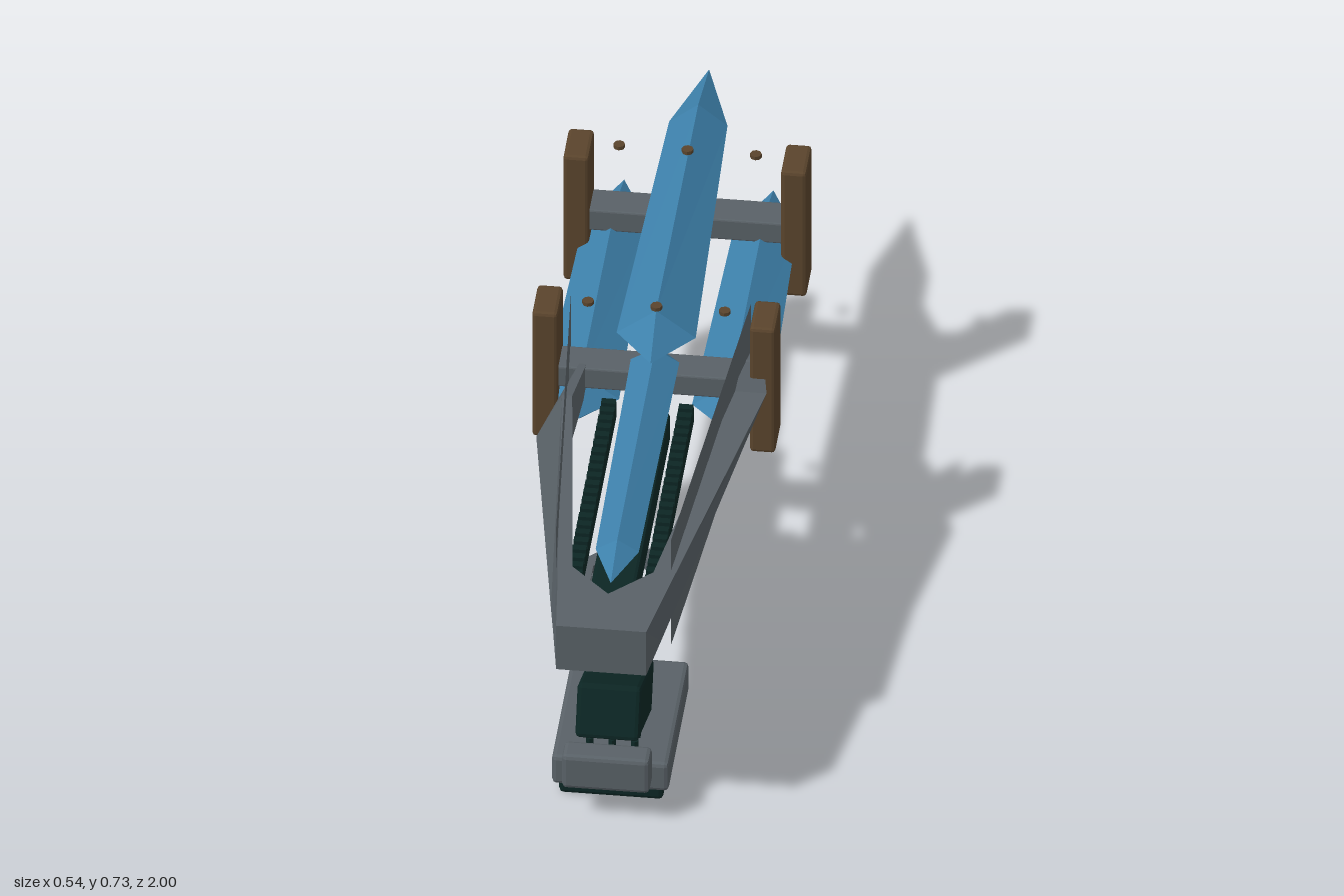
import * as THREE from 'three';
import { RoundedBoxGeometry } from 'three/addons/geometries/RoundedBoxGeometry.js';

const paint = (name, color, side = THREE.FrontSide) => {
  const m = new THREE.MeshStandardMaterial({ color, flatShading: true, side });
  m.name = name;
  return m;
};

// Joins cross-sections (counter-clockwise seen from +z) running towards -z, with end caps
function loft(sections) {
  const pos = [];
  const tri = (...pts) => pts.forEach((p) => pos.push(...p));
  const n = sections[0].length;
  for (let i = 0; i < sections.length - 1; i++) {
    for (let j = 0; j < n; j++) {
      const k = (j + 1) % n, s = sections[i], t = sections[i + 1];
      tri(s[j], t[j], s[k]);
      tri(t[j], t[k], s[k]);
    }
  }
  const first = sections[0], last = sections[sections.length - 1];
  for (let j = 1; j < n - 1; j++) {
    tri(first[0], first[j], first[j + 1]);
    tri(last[0], last[j + 1], last[j]);
  }
  const g = new THREE.BufferGeometry();
  g.setAttribute('position', new THREE.Float32BufferAttribute(pos, 3));
  g.computeVertexNormals();
  return g;
}

// Pointed diamond bar; rings are [z, half width, half height]
const crystal = (x, y, rings) => loft(rings.map(([z, w, h]) => [
  [x + w, y, z], [x, y + h, z], [x - w, y, z], [x, y - h, z],
]));

export function createModel() {
  const root = new THREE.Group();
  root.name = 'weapon';
  const steel = paint('steelGrey', 0x596167, THREE.DoubleSide);
  const blue = paint('crystalBlue', 0x3d80aa);
  const wood = paint('woodBrown', 0x5a442c);
  const dark = paint('darkGreen', 0x0c2624);

  const add = (name, geo, mat, x = 0, y = 0, z = 0) => {
    const m = new THREE.Mesh(geo, mat);
    m.name = name;
    m.position.set(x, y, z);
    root.add(m);
    return m;
  };
  const block = (name, mat, w, h, d, x, y, z, bevel = 0.008) =>
    add(name, new RoundedBoxGeometry(w, h, d, 1, bevel), mat, x, y, z);

  // Crystals: long upper bar, short bar in the hull, two lower side bars
  add('upperCrystal', crystal(0, 0.648, [
    [0.085, 0, 0], [-0.02, 0.088, 0.067], [-0.8, 0.065, 0.053], [-1, 0, 0]]), blue);
  add('innerCrystal', crystal(0, 0.592, [
    [0.82, 0, 0], [0.7, 0.048, 0.03], [0.0, 0.054, 0.033], [-0.05, 0, 0]]), blue);
  for (const s of [-1, 1]) {
    add('sideCrystal', crystal(s * 0.166, 0.471, [
      [0.075, 0, 0], [-0.01, 0.085, 0.059], [-0.66, 0.07, 0.05], [-0.81, 0, 0]]), blue);
  }

  // Two frames: wooden posts, crossbar and floating studs
  for (const z of [-0.025, -0.602]) {
    for (const s of [-1, 1]) block('post', wood, 0.057, 0.342, 0.108, s * 0.242, 0.551, z);
    block('crossbar', steel, 0.45, 0.055, 0.08, 0, 0.54, z, 0.004);
    for (const x of [-0.152, 0, 0.152]) {
      add('stud', new THREE.CylinderGeometry(0.013, 0.013, 0.009, 8), wood, x, 0.723, z);
    }
  }

  // Hull: nose splitting into two arms; each row is
  // [z, outer bottom x, outer top x, inner x, bottom y, top y]
  const arms = [
    [-1, [[1, 0.1, 0.1, 0, 0.48, 0.6], [0.87, 0.122, 0.113, 0, 0.48, 0.6],
      [0.78, 0.138, 0.123, 0.09, 0.48, 0.6], [0.16, 0.245, 0.188, 0.165, 0.48, 0.6],
      [-0.04, 0.17, 0.165, 0.15, 0.5, 0.56]]],
    [1, [[1, 0.1, 0.1, 0, 0.48, 0.6], [0.87, 0.118, 0.123, 0, 0.48, 0.6],
      [0.78, 0.13, 0.139, 0.09, 0.48, 0.6], [0.1, 0.22, 0.26, 0.19, 0.48, 0.6],
      [-0.18, 0.21, 0.215, 0.185, 0.51, 0.54]]],
  ];
  for (const [s, rows] of arms) {
    const sections = rows.map(([z, ob, ot, inner, y0, y1]) => {
      const ring = [[s * inner, y0, z], [s * ob, y0, z], [s * ot, y1, z], [s * inner, y1, z]];
      return s > 0 ? ring : ring.reverse();
    });
    add('hullArm', loft(sections), steel);
  }

  // Thin side plates splaying outwards to the rear
  for (const s of [-1, 1]) {
    const plate = add('sidePlate', new THREE.PlaneGeometry(0.883, 0.29), steel, s * 0.164, 0.54, 0.33);
    plate.rotation.y = Math.PI / 2 - s * Math.atan2(0.072, 0.88);
  }

  // Toothed rails and the barrel below the inner crystal
  for (const s of [-1, 1]) {
    add('rail', new THREE.BoxGeometry(0.032, 0.04, 0.69), dark, s * 0.086, 0.55, 0.475);
    for (let i = 0; i < 23; i++) {
      add('railTooth', new THREE.BoxGeometry(0.032, 0.012, 0.018), dark, s * 0.086, 0.576, 0.145 + i * 0.03);
    }
  }
  block('barrel', dark, 0.1, 0.075, 0.72, 0, 0.515, 0.49);

  // Octagonal ring with spokes, and the trigger
  const outline = (shape, r) => {
    for (let i = 0; i < 8; i++) {
      const a = (i + 0.5) * Math.PI / 4, R = r / Math.cos(Math.PI / 8);
      shape[i ? 'lineTo' : 'moveTo'](R * Math.cos(a), R * Math.sin(a));
    }
    return shape;
  };
  const ringShape = outline(new THREE.Shape(), 0.108);
  ringShape.holes.push(outline(new THREE.Path(), 0.075));
  const ring = add('ring', new THREE.ExtrudeGeometry(ringShape, { depth: 0.031, bevelEnabled: false }),
    steel, 0, 0.408, 0.55);
  ring.rotation.x = Math.PI / 2;
  add('ringSpoke', new THREE.BoxGeometry(0.16, 0.012, 0.016), steel, 0, 0.398, 0.55);
  add('ringSpoke', new THREE.BoxGeometry(0.016, 0.012, 0.16), steel, 0, 0.398, 0.55);
  block('trigger', wood, 0.023, 0.087, 0.02, 0, 0.383, 0.47, 0.006);

  // Separate lower unit: sole, slab, front block, tilted box and pins
  block('sole', dark, 0.232, 0.04, 0.35, 0, 0.02, 0.645, 0.01);
  block('slab', steel, 0.26, 0.076, 0.385, 0, 0.073, 0.642, 0.01);
  block('frontBlock', steel, 0.195, 0.09, 0.062, 0, 0.135, 0.89, 0.01);
  const box = block('tiltedBox', dark, 0.142, 0.125, 0.265, 0, 0.222, 0.75, 0.01);
  box.rotation.x = -0.39;
  for (let i = 0; i < 4; i++) {
    for (const x of [-0.05, 0, 0.05]) {
      add('pin', new THREE.CylinderGeometry(0.009, 0.009, 0.022, 6), dark, x, 0.13, 0.835 - i * 0.043);
    }
  }
  return root;
}
